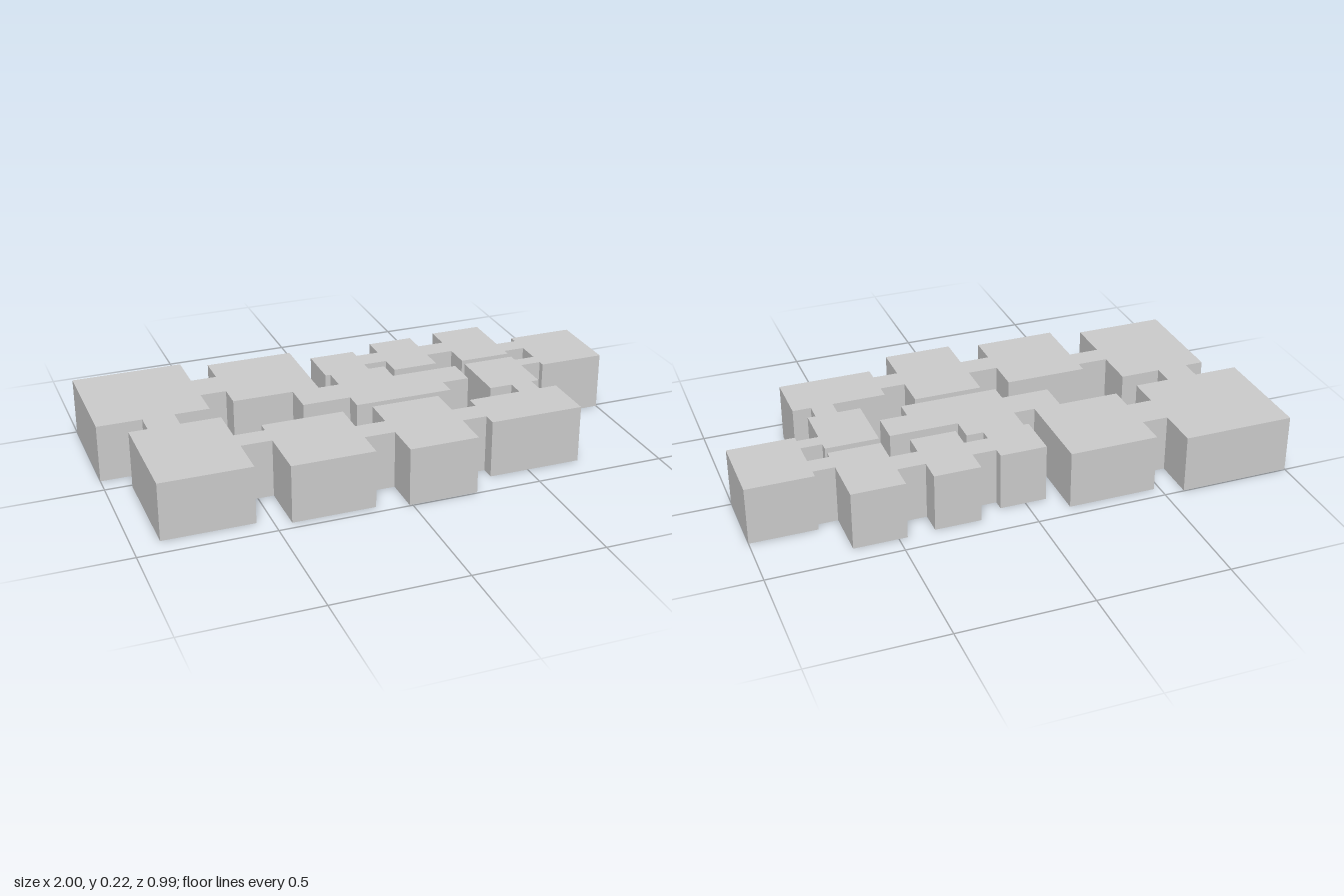
import * as THREE from 'three';

const HEIGHT = 0.222;

export function createModel() {
  const model = new THREE.Group();
  model.name = 'roomComplex';
  const material = new THREE.MeshStandardMaterial({ color: 0xcccccc, flatShading: true });

  // Solid block covering a rectangle of the floor plan
  const block = (name, [x0, x1, z0, z1]) => {
    const mesh = new THREE.Mesh(new THREE.BoxGeometry(x1 - x0, HEIGHT, z1 - z0), material);
    mesh.position.set((x0 + x1) / 2, HEIGHT / 2, (z0 + z1) / 2);
    mesh.name = name;
    model.add(mesh);
  };

  // Rooms: [x min, x max, z min, z max]
  const rooms = {
    backRightRoom: [-1, -0.577, -0.497, -0.07],
    backInnerRoom: [-0.478, -0.142, -0.45, -0.1],
    backMiddleRoom: [-0.08, 0.097, -0.37, -0.195],
    backSmallRoom: [0.188, 0.363, -0.418, -0.15],
    backLeftRoom: [0.468, 0.667, -0.428, -0.135],
    leftEndRoom: [0.748, 1, -0.27, 0.01],
    leftInnerRoom: [0.465, 0.667, -0.103, 0.135],
    frontLeftRoom: [0.348, 0.707, 0.202, 0.403],
    frontMiddleRoom: [-0.011, 0.252, 0.127, 0.495],
    frontInnerRoom: [-0.44, -0.127, 0.127, 0.465],
    frontRightRoom: [-0.9, -0.557, 0.013, 0.423],
  };
  for (const [name, plan] of Object.entries(rooms)) block(name, plan);

  // Short corridors linking neighbouring rooms
  const corridors = [
    [-0.577, -0.478, -0.333, -0.195],
    [-0.83, -0.71, -0.07, 0.013],
    [-0.557, -0.44, 0.17, 0.257],
    [-0.127, -0.011, 0.255, 0.35],
    [0.252, 0.348, 0.255, 0.35],
    [0.553, 0.637, 0.135, 0.202],
    [0.667, 0.748, -0.07, -0.015],
    [0.667, 0.748, -0.238, -0.163],
    [0.363, 0.468, -0.328, -0.238],
    [0.097, 0.188, -0.328, -0.24],
  ];
  corridors.forEach((plan, i) => block(`corridor${i + 1}`, plan));

  // Stepped central hall, outlined in plan as (x, z)
  const outline = [
    [-0.06, -0.195], [0.162, -0.195], [0.162, -0.1], [0.423, -0.1],
    [0.423, 0.023], [0.318, 0.023], [0.318, 0.095], [-0.06, 0.095],
    [-0.06, 0.023], [-0.245, 0.023], [-0.245, -0.1], [-0.06, -0.1],
  ];
  const shape = new THREE.Shape(outline.map(([x, z]) => new THREE.Vector2(x, -z)));
  const hallGeometry = new THREE.ExtrudeGeometry(shape, { depth: HEIGHT, bevelEnabled: false });
  hallGeometry.rotateX(-Math.PI / 2);
  const hall = new THREE.Mesh(hallGeometry, material);
  hall.name = 'centralHall';
  model.add(hall);

  return model;
}
